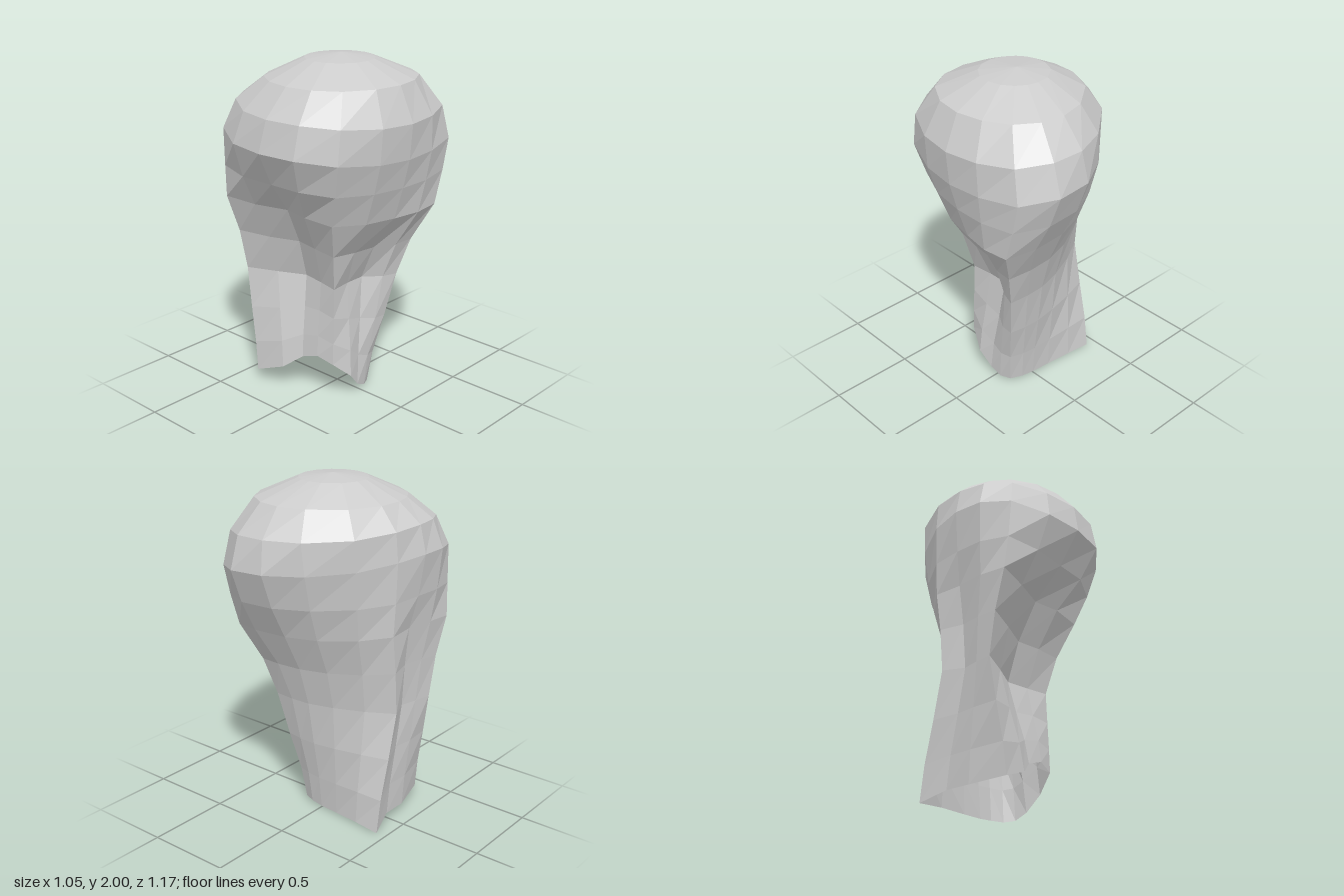
import * as THREE from 'three';

// One row per vertical column, running from the front round by +x:
// [crown x, z,  shoulder x, z,  waist x, z,  hem x, y, z]
const COLUMNS = [
  [-0.02, 0.585, -0.08, 0.32, -0.11, 0.145, -0.055, 0.225, 0.24],
  [0.205, 0.555, 0.08, 0.35, 0.03, 0.17, 0.06, 0.265, 0.235],
  [0.39, 0.42, 0.27, 0.335, 0.16, 0.2, 0.165, 0.235, 0.215],
  [0.48, 0.19, 0.36, 0.16, 0.145, 0.07, 0.21, 0.14, 0.11],
  [0.505, -0.02, 0.4, -0.03, 0.145, -0.05, 0.19, 0.05, 0.03],
  [0.49, -0.23, 0.43, -0.2, 0.23, -0.14, 0.18, 0.015, -0.04],
  [0.43, -0.46, 0.42, -0.36, 0.26, -0.225, 0.15, 0.01, -0.1],
  [0.25, -0.585, 0.25, -0.41, 0.14, -0.235, 0.08, 0.01, -0.13],
  [0.04, -0.575, 0.04, -0.4, 0.02, -0.23, 0, 0.005, -0.14],
  [-0.16, -0.46, -0.14, -0.34, -0.13, -0.19, -0.12, 0.005, -0.15],
  [-0.36, -0.28, -0.33, -0.22, -0.3, -0.12, -0.28, 0.01, -0.17],
  [-0.48, -0.08, -0.46, -0.08, -0.455, -0.03, -0.44, 0, -0.18],
  [-0.525, 0.11, -0.45, 0.08, -0.405, 0.09, -0.4, 0.05, -0.03],
  [-0.52, 0.28, -0.475, 0.25, -0.43, 0.19, -0.4, 0.05, 0.12],
  [-0.45, 0.445, -0.475, 0.415, -0.45, 0.295, -0.35, 0.07, 0.325],
  [-0.25, 0.555, -0.28, 0.38, -0.27, 0.22, -0.165, 0.14, 0.295],
];
const POLE = [0.015, -0.015];
const WAIST_Y = 0.7;
const mix = THREE.MathUtils.lerp;

// Rings of the dome, near-circular at the top:
// [radius, share of crown outline, height, centre x, tilt]
const DOME = [
  [0.195, 0, 1.975, 0.02, 0], [0.375, 0.2, 1.875, 0.035, 0],
  [0.5, 0.55, 1.72, 0.02, -0.3], [0, 1, 1.54, 0, -0.45],
];
// Rings from crown to shoulder, then shoulder to waist: [first column, blend, height, tilt]
const TAPER = [
  [0, 0.42, 1.34, -0.2], [0, 1, 1.15, -0.2],
  [2, 0.62, 0.93, -0.15], [2, 1, WAIST_Y, 0],
];
// Rings from waist to the uneven hem: [outline blend, height blend]
const SKIRT = [[0.4, 0.38], [0.8, 0.72], [1, 1]];

function buildRings() {
  const rings = [];
  for (const [radius, share, y, cx, tilt] of DOME)
    rings.push(COLUMNS.map(([x, z]) => {
      const s = radius * (1 - share) / Math.hypot(x, z) + share;
      return [cx + x * s, y + tilt * x ** 3, z * s];
    }));
  for (const [k, t, y, tilt] of TAPER)
    rings.push(COLUMNS.map((c) =>
      [mix(c[k], c[k + 2], t), y + tilt * c[0] ** 3, mix(c[k + 1], c[k + 3], t)]));
  for (const [u, v] of SKIRT)
    rings.push(COLUMNS.map(([, , , , wx, wz, hx, hy, hz]) =>
      [mix(wx, hx, u), mix(WAIST_Y, hy, v), mix(wz, hz, u)]));
  return rings;
}

function loftGeometry(rings, top) {
  const n = COLUMNS.length;
  const positions = [...top, ...rings.flat(2)];
  const index = [];
  const id = (r, c) => 1 + r * n + (c % n);
  for (let c = 0; c < n; c++) {
    index.push(0, id(0, c), id(0, c + 1));
    for (let r = 0; r < rings.length - 1; r++) {
      const a = id(r, c), b = id(r, c + 1), d = id(r + 1, c), e = id(r + 1, c + 1);
      index.push(a, d, b, b, d, e);
    }
  }
  const geometry = new THREE.BufferGeometry();
  geometry.setAttribute('position', new THREE.Float32BufferAttribute(positions, 3));
  geometry.setIndex(index);
  geometry.computeVertexNormals();
  return geometry;
}

export function createModel() {
  const group = new THREE.Group();
  group.name = 'hairShell';
  const material = new THREE.MeshStandardMaterial({
    color: 0xcccccc, flatShading: true, side: THREE.DoubleSide,
  });
  // Domed shell with fluted sides, narrowing to an open, uneven hem
  const shell = new THREE.Mesh(loftGeometry(buildRings(), [POLE[0], 2, POLE[1]]), material);
  shell.name = 'domedShell';
  group.add(shell);
  return group;
}
